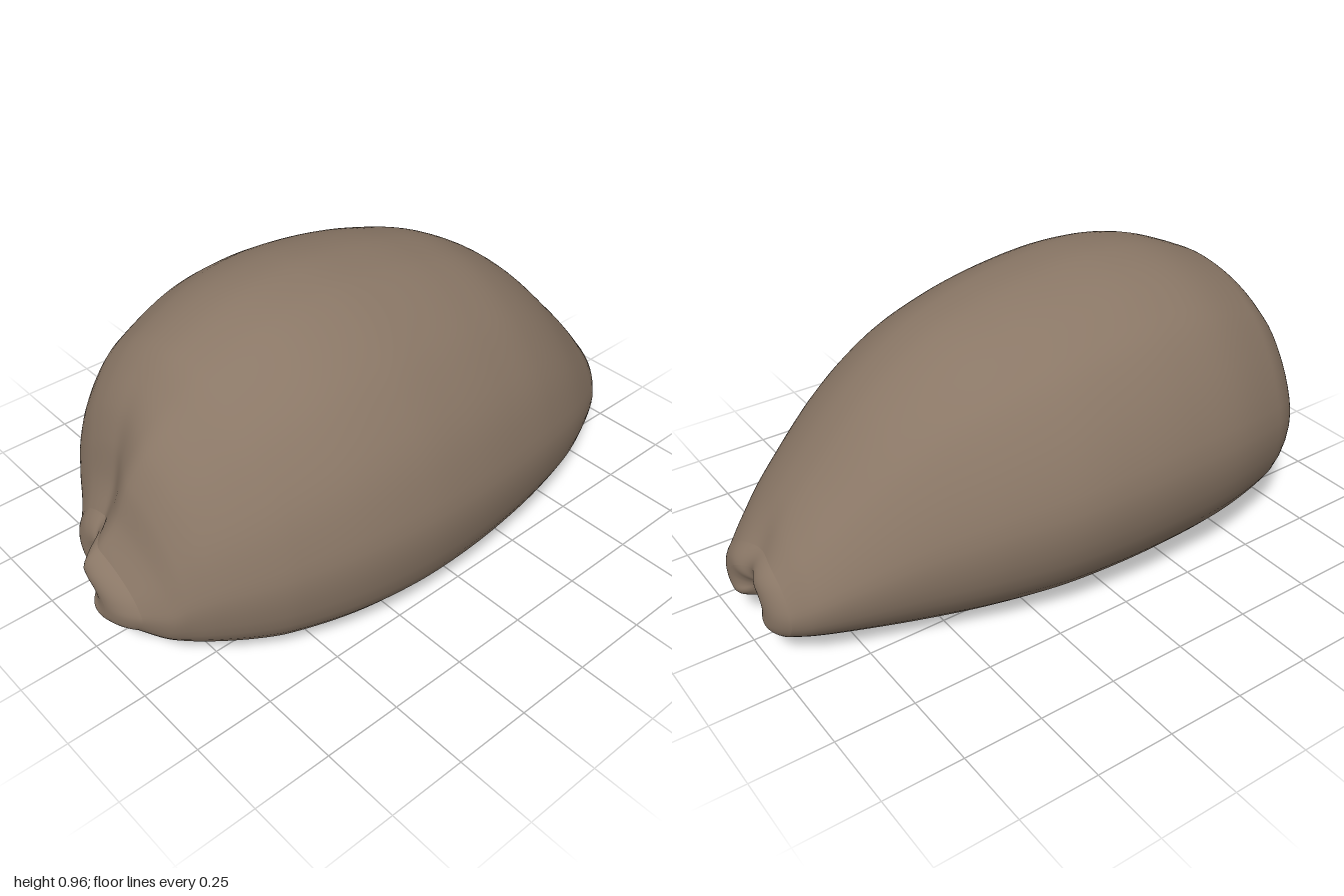
import * as THREE from 'three';

// Stations along the shell:
// z, left x, right x, top y, bottom y, slit x, slit half width, canal roof y
const rows = [
  [-0.96, -0.195, 0.215, 0.315, 0.09, 0.0, 0.04, 0.2],
  [-0.9, -0.24, 0.265, 0.39, 0.08, 0.015, 0.048, 0.22],
  [-0.8, -0.29, 0.34, 0.5, 0.062, 0.035, 0.055, 0.26],
  [-0.6, -0.385, 0.44, 0.7, 0.03, 0.065, 0.05, 0.3],
  [-0.4, -0.48, 0.505, 0.835, 0.014, 0.08, 0.036, 0.31],
  [-0.2, -0.545, 0.545, 0.905, 0.006, 0.09, 0.028, 0.31],
  [0.0, -0.57, 0.568, 0.945, 0.003, 0.09, 0.025, 0.31],
  [0.2, -0.573, 0.57, 0.96, 0.004, 0.09, 0.023, 0.31],
  [0.4, -0.555, 0.54, 0.935, 0.01, 0.085, 0.022, 0.31],
  [0.6, -0.5, 0.475, 0.855, 0.026, 0.065, 0.021, 0.3],
  [0.7, -0.455, 0.425, 0.785, 0.045, 0.045, 0.02, 0.29],
  [0.8, -0.395, 0.36, 0.69, 0.07, 0.02, 0.019, 0.28],
  [0.86, -0.34, 0.31, 0.585, 0.09, 0.0, 0.018, 0.27],
  [0.9, -0.295, 0.27, 0.465, 0.112, -0.015, 0.017, 0.26],
  [0.95, -0.24, 0.2, 0.37, 0.145, -0.035, 0.016, 0.25],
];
const BACK = -0.96, FRONT = 0.95;

// Outer cross-section from right lip over the back to left lip, in unit ranges
const section = [
  [0, 0.145], [0.07, 0.105], [0.21, 0.045], [0.43, 0], [0.68, 0.035], [0.91, 0.145], [1, 0.34],
  [0.95, 0.5], [0.83, 0.65], [0.62, 0.795], [0.42, 0.885], [0.21, 0.948], [0.03, 0.982],
  [-0.17, 1], [-0.33, 0.99], [-0.47, 0.963], [-0.6, 0.918], [-0.76, 0.83],
  [-0.92, 0.655], [-1, 0.45], [-0.92, 0.23], [-0.7, 0.06], [-0.44, 0], [-0.15, 0.065], [0, 0.145],
];

// Smooth interpolation of all station values at z
function sample(z) {
  let k = 0;
  while (k < rows.length - 2 && z > rows[k + 1][0]) k++;
  const p = rows[k], q = rows[k + 1], h = q[0] - p[0], t = (z - p[0]) / h;
  const before = rows[Math.max(k - 1, 0)], after = rows[Math.min(k + 2, rows.length - 1)];
  return p.map((a, c) => {
    const m0 = (h * (q[c] - before[c])) / (q[0] - before[0]);
    const m1 = (h * (after[c] - p[c])) / (after[0] - p[0]);
    const t2 = t * t, t3 = t2 * t;
    return (2 * t3 - 3 * t2 + 1) * a + (t3 - 2 * t2 + t) * m0 + (3 * t2 - 2 * t3) * q[c] + (t3 - t2) * m1;
  });
}

function shellGeometry() {
  const N = 80, ring = N * 2, body = 200, capSteps = 10;
  const outline = new THREE.SplineCurve(section.map(([a, b]) => new THREE.Vector2(a, b))).getPoints(N - 1);
  const { smoothstep, lerp } = THREE.MathUtils;
  const pos = [], index = [];

  // One ring: outside then canal wall; cap (0..1) rolls the two together at an end
  function addRing(z, cap) {
    const [, L, R, T, B, s, hw, roof] = sample(z);
    const lipY = B + 0.145 * (T - B);
    // the roll starts already leaning inwards, so it continues the taper
    const start = 0.8, angle = lerp(start, Math.PI / 2, cap);
    const close = (1 - Math.cos(angle) / Math.cos(start)) / 2;
    const reach = (Math.sin(angle) - Math.sin(start)) / (1 - Math.sin(start));
    const length = z > 0 ? 1 - FRONT : -1 - BACK;
    const outer = [], inner = [];
    outline.forEach(({ x: a, y: b }, i) => {
      const u = i / (N - 1), side = Math.cos(Math.PI * u), rise = Math.sin(Math.PI * u);
      const x = s + hw * side + a * (a > 0 ? R - s - hw * 0.6 : s - L - hw * 0.6);
      // faint teeth along the front half of both lips
      const lip = b < 0.2 ? Math.exp(-(((Math.abs(a) - 0.07) / 0.06) ** 2)) : 0;
      const teeth = 0.002 * lip * Math.sin(z * 75) * smoothstep(z, -0.2, 0.3) * smoothstep(0.95 - z, 0, 0.2);
      const y = B + b * (T - B) + teeth;
      // the canal widens and leans left above the slit
      const ix = s + hw * side * (1 + 20 * Math.max(s, 0) * rise) - Math.max(s, 0) * rise;
      const iy = lipY + (roof - lipY) * rise;
      // the left lobe stops short in front; the back end is notched
      const front = -0.09 * smoothstep(z, 0.6, 1) * smoothstep(-a, -0.2, 0.3);
      const back = 0.02 * smoothstep(-z, 0.85, 1) * Math.exp(-(((x - s) / 0.07) ** 2));
      const bulge = length * reach * smoothstep(Math.hypot(x - ix, y - iy), 0, 0.15);
      const zz = z + front + back + bulge;
      outer.push([lerp(x, ix, close), lerp(y, iy, close), zz]);
      inner.push([lerp(ix, x, close), lerp(iy, y, close), zz]);
    });
    for (const p of [...outer, ...inner.reverse()]) pos.push(...p);
  }

  for (let k = capSteps; k > 0; k--) addRing(BACK, k / capSteps);
  for (let j = 0; j <= body; j++) {
    addRing(lerp(BACK, FRONT, (1 - Math.cos((j / body) * Math.PI)) / 2), 0);
  }
  for (let k = 1; k <= capSteps; k++) addRing(FRONT, k / capSteps);

  for (let j = 0; j < body + capSteps * 2; j++) {
    for (let i = 0; i < ring; i++) {
      const a = j * ring + i, b = j * ring + ((i + 1) % ring);
      index.push(a, b, b + ring, a, b + ring, a + ring);
    }
  }

  const geometry = new THREE.BufferGeometry();
  geometry.setAttribute('position', new THREE.Float32BufferAttribute(pos, 3));
  geometry.setIndex(index);
  geometry.computeVertexNormals();
  return geometry;
}

export function createModel() {
  const model = new THREE.Group();
  model.name = 'cowrieShell';
  const brown = new THREE.MeshStandardMaterial({ color: 0x8a7766, side: THREE.DoubleSide });
  brown.name = 'shellBrown';
  const shell = new THREE.Mesh(shellGeometry(), brown);
  shell.name = 'shell';
  model.add(shell);
  return model;
}
